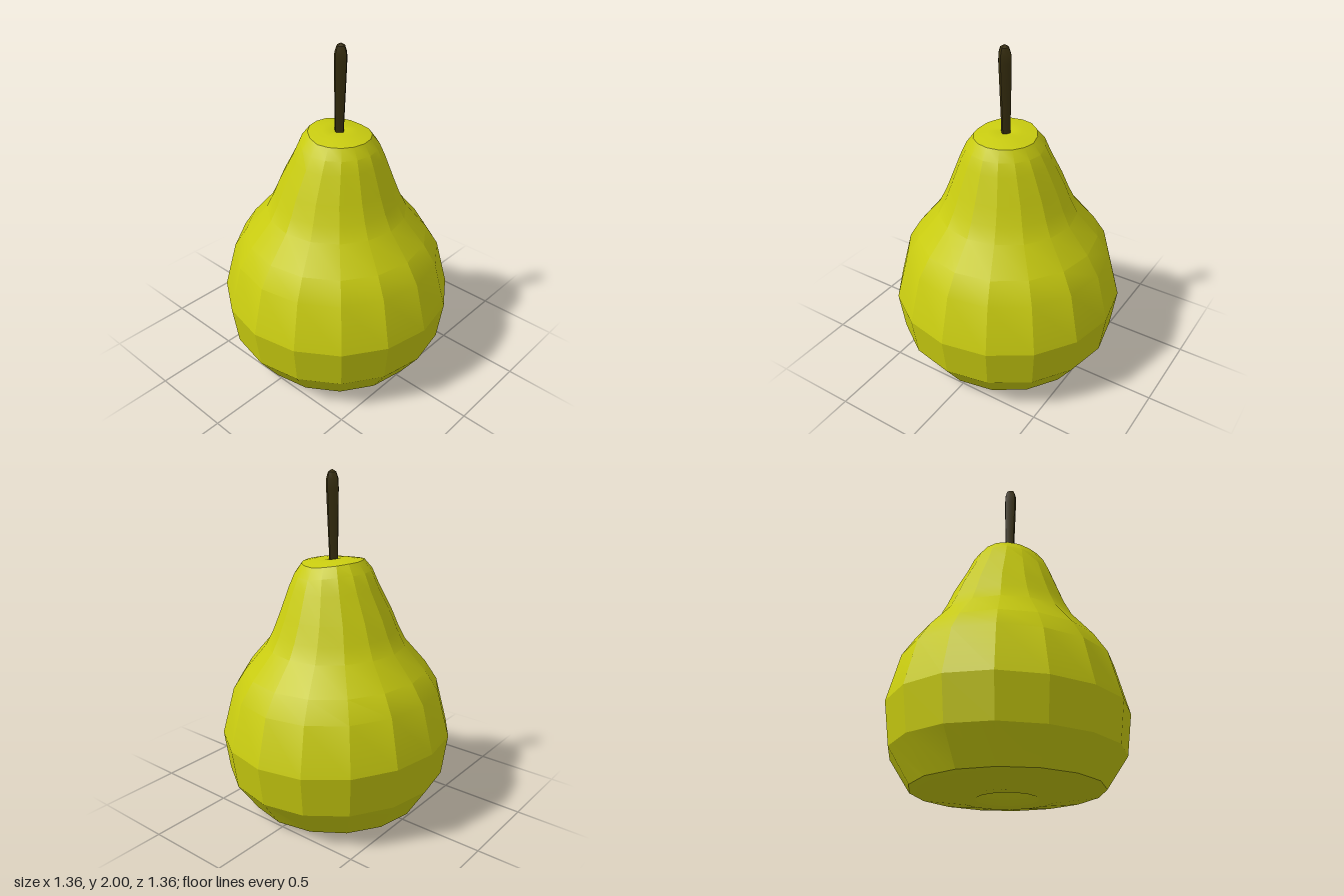
import * as THREE from 'three';
import { toCreasedNormals } from 'three/addons/utils/BufferGeometryUtils.js';

const lathe = (profile, sides) =>
  new THREE.LatheGeometry(profile.map(([r, y]) => new THREE.Vector2(r, y)), sides);

// Move every vertex by a rule
function warp(geometry, rule) {
  const pos = geometry.attributes.position;
  const v = new THREE.Vector3();
  for (let i = 0; i < pos.count; i++) {
    rule(v.fromBufferAttribute(pos, i));
    pos.setXYZ(i, v.x, v.y, v.z);
  }
  return geometry;
}

export function createModel() {
  const skin = new THREE.MeshStandardMaterial({ color: 0xc9cc10 });
  skin.name = 'pear skin';
  const bark = new THREE.MeshStandardMaterial({ color: 0x393010 });
  bark.name = 'stem bark';

  const group = new THREE.Group();
  group.name = 'pear';

  // Faceted body, from the dent underneath up to the shoulder
  const body = lathe([
    [0, 0.09], [0.06, 0.08], [0.12, 0.03], [0.17, 0.008], [0.26, 0.005],
    [0.53, 0.05], [0.65, 0.225], [0.682, 0.46], [0.61, 0.74], [0.535, 0.86],
    [0.41, 1.01], [0.365, 1.1], [0.325, 1.2], [0.26, 1.35], [0.225, 1.42],
    [0.18, 1.48], [0.1, 1.5], [0.05, 1.505], [0, 1.495],
  ], 16);
  warp(body, (v) => {
    // The left flank sits slightly higher and the neck leans a little
    const side = Math.max(0, -v.x / 0.69);
    v.y += 0.035 * side * side * Math.min(1, v.y / 0.3);
    if (v.y > 1.4 && v.x < 0) v.y += Math.min(0.025, -v.x * 0.15);
    v.x += 0.025 * THREE.MathUtils.smoothstep(v.y, 1.15, 1.5);
  });
  const bodyMesh = new THREE.Mesh(toCreasedNormals(body, 0.33), skin);
  bodyMesh.name = 'body';
  group.add(bodyMesh);

  // Stem widening upwards to a rounded tip
  const stem = lathe([
    [0, 1.45], [0.03, 1.45], [0.031, 1.55], [0.036, 1.7],
    [0.042, 1.9], [0.04, 1.95], [0.027, 1.985], [0, 2],
  ], 8);
  warp(stem, (v) => {
    // Pinch the diagonals towards a diamond section and lean outwards
    const pinch = Math.abs(v.x * v.z) > 1e-5 ? 0.84 : 1;
    v.x = v.x * pinch + 0.02 + 0.02 * (v.y - 1.5);
    v.z *= pinch;
  });
  const stemMesh = new THREE.Mesh(toCreasedNormals(stem, 0.6), bark);
  stemMesh.name = 'stem';
  group.add(stemMesh);

  return group;
}
